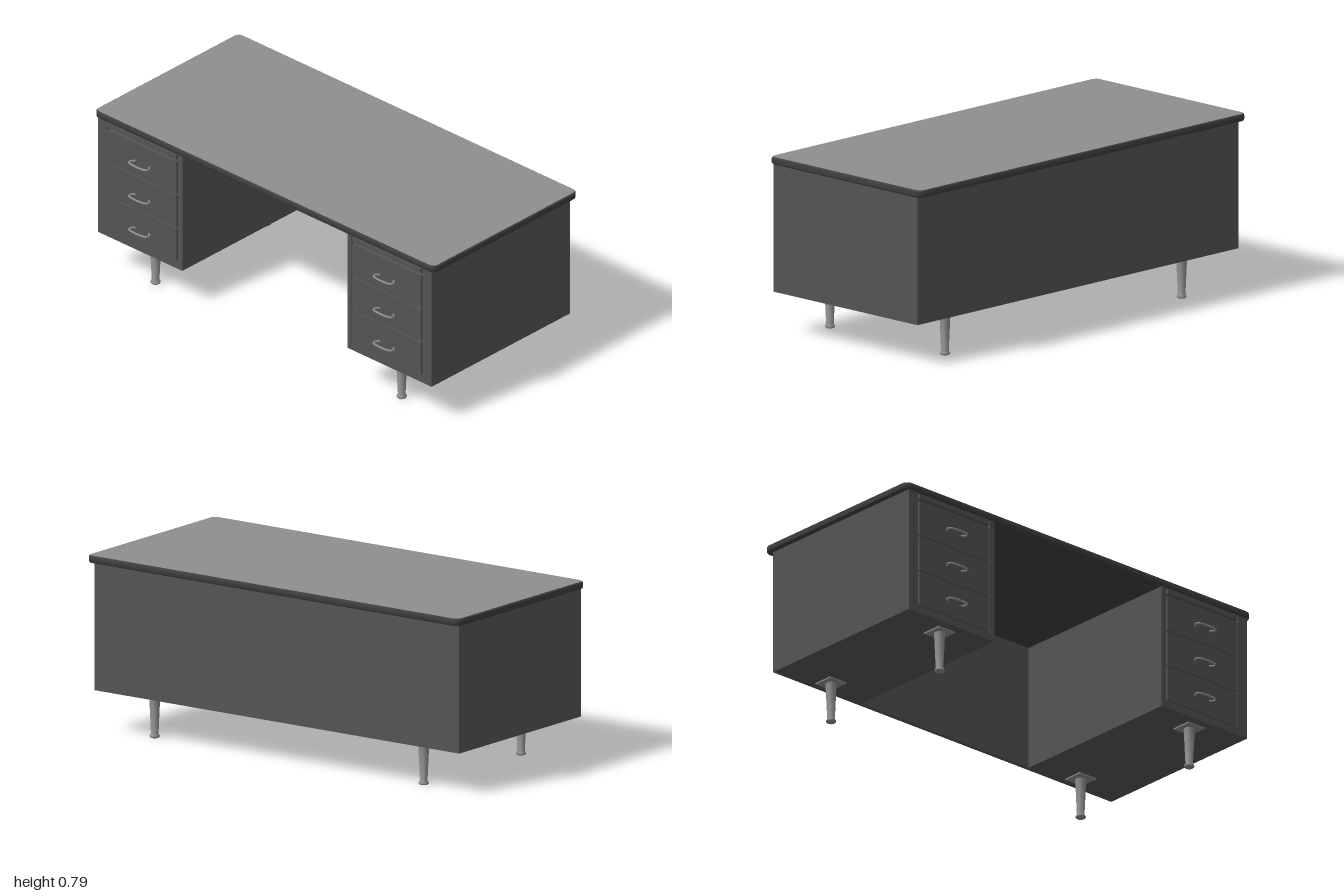
import * as THREE from 'three';
import { toCreasedNormals } from 'three/addons/utils/BufferGeometryUtils.js';

const paint = (name, color) => Object.assign(new THREE.MeshStandardMaterial({ color }), { name });

export function createModel() {
  const body = paint('charcoal steel', 0x545454);
  const trim = paint('dark edging', 0x3e3e3e);
  const surface = paint('grey desktop', 0x8f8d90);
  const metal = paint('brushed metal', 0x8c8c8c);

  const desk = new THREE.Group();
  desk.name = 'desk';

  const add = (parent, name, geometry, material) => {
    const mesh = new THREE.Mesh(geometry, material);
    mesh.name = name;
    parent.add(mesh);
    return mesh;
  };
  // Box given by its limits on each axis
  const box = (parent, name, material, [x0, x1], [y0, y1], [z0, z1]) => {
    const mesh = add(parent, name, new THREE.BoxGeometry(x1 - x0, y1 - y0, z1 - z0), material);
    mesh.position.set((x0 + x1) / 2, (y0 + y1) / 2, (z0 + z1) / 2);
    return mesh;
  };
  // Centred rectangle with rounded corners
  const roundedRect = (w, d, r) => {
    const s = new THREE.Shape();
    const x = w / 2, y = d / 2;
    s.absarc(x - r, y - r, r, 0, Math.PI / 2);
    s.absarc(r - x, y - r, r, Math.PI / 2, Math.PI);
    s.absarc(r - x, r - y, r, Math.PI, Math.PI * 1.5);
    s.absarc(x - r, r - y, r, Math.PI * 1.5, Math.PI * 2);
    s.closePath();
    return s;
  };

  // Desktop: dark rounded edging with a grey sheet on it
  const slab = new THREE.ExtrudeGeometry(roundedRect(1.984, 0.896, 0.024), {
    depth: 0.016, bevelThickness: 0.008, bevelSize: 0.008, bevelSegments: 4, curveSegments: 8,
  });
  slab.rotateX(-Math.PI / 2);
  add(desk, 'desktopEdging', toCreasedNormals(slab, 0.6), trim).position.set(0, 0.763, -0.017);
  const sheet = new THREE.ShapeGeometry(roundedRect(1.988, 0.9, 0.026), 8);
  sheet.rotateX(-Math.PI / 2);
  add(desk, 'desktopSheet', sheet, surface).position.set(0, 0.788, -0.017);

  // Modesty panel across the back
  box(desk, 'backPanel', body, [-0.485, 0.485], [0.188, 0.756], [-0.438, -0.42]);

  // Frame around the drawers, relative to the pedestal
  const frame = new THREE.Shape();
  frame.moveTo(-0.2475, 0.188).lineTo(0.2475, 0.188).lineTo(0.2475, 0.756).lineTo(-0.2475, 0.756).closePath();
  const opening = new THREE.Path();
  opening.moveTo(-0.222, 0.222).lineTo(-0.222, 0.752).lineTo(0.193, 0.752).lineTo(0.193, 0.222).closePath();
  frame.holes.push(opening);
  const frameGeometry = new THREE.ExtrudeGeometry(frame, { depth: 0.012, bevelEnabled: false });

  // Arched drawer pull
  const pullCurve = new THREE.CatmullRomCurve3([
    [-0.04, -0.004], [-0.053, 0.014], [-0.05, 0.027], [-0.028, 0.034],
    [0.028, 0.034], [0.05, 0.027], [0.053, 0.014], [0.04, -0.004],
  ].map(([x, z]) => new THREE.Vector3(x, 0, z)));
  const pullGeometry = new THREE.TubeGeometry(pullCurve, 32, 0.005, 8);

  // Tapered leg with a rounded foot
  const legGeometry = toCreasedNormals(new THREE.LatheGeometry([
    [0, 0], [0.018, 0], [0.022, 0.004], [0.022, 0.009], [0.018, 0.014],
    [0.0165, 0.017], [0.024, 0.184],
  ].map(([x, y]) => new THREE.Vector2(x, y)), 24), 0.7);

  for (const side of [-1, 1]) {
    const pedestal = new THREE.Group();
    pedestal.name = side > 0 ? 'leftPedestal' : 'rightPedestal';
    pedestal.position.x = side * 0.7325;
    desk.add(pedestal);

    box(pedestal, 'cabinet', body, [-0.2475, 0.2475], [0.188, 0.756], [-0.438, 0.418]);

    const front = new THREE.Group();
    front.name = 'drawerFront';
    pedestal.add(front);
    // Opposite frames are half a turn apart so that faces stay outward
    const face = add(front, 'drawerFrame', frameGeometry.clone(), body);
    if (side < 0) {
      const mirrored = face.geometry.toNonIndexed();
      const p = mirrored.attributes.position;
      for (let i = 0; i < p.count; i += 3) {
        const a = [0, 1, 2].map((k) => new THREE.Vector3().fromBufferAttribute(p, i + k));
        [a[0], a[2], a[1]].forEach((v, k) => p.setXYZ(i + k, -v.x, v.y, v.z));
      }
      mirrored.computeVertexNormals();
      face.geometry = mirrored;
    }
    face.position.z = 0.418;

    const span = side > 0 ? [-0.216, 0.188] : [-0.188, 0.216];
    box(front, 'pullOutBoard', body, span, [0.729, 0.749], [0.41, 0.435]);
    for (const y of [0.226, 0.391, 0.556]) {
      box(front, 'drawer', body, span, [y, y + 0.159], [0.41, 0.433]);
      add(front, 'drawerPull', pullGeometry, metal).position.set(side * -0.014, y + 0.07, 0.434);
    }

    for (const z of [0.343, -0.35]) {
      const x = side * -0.0095;
      box(pedestal, 'legPlate', metal, [x - 0.047, x + 0.047], [0.182, 0.189], [z - 0.047, z + 0.047]);
      add(pedestal, 'leg', legGeometry, metal).position.set(x, 0, z);
    }
  }
  return desk;
}
